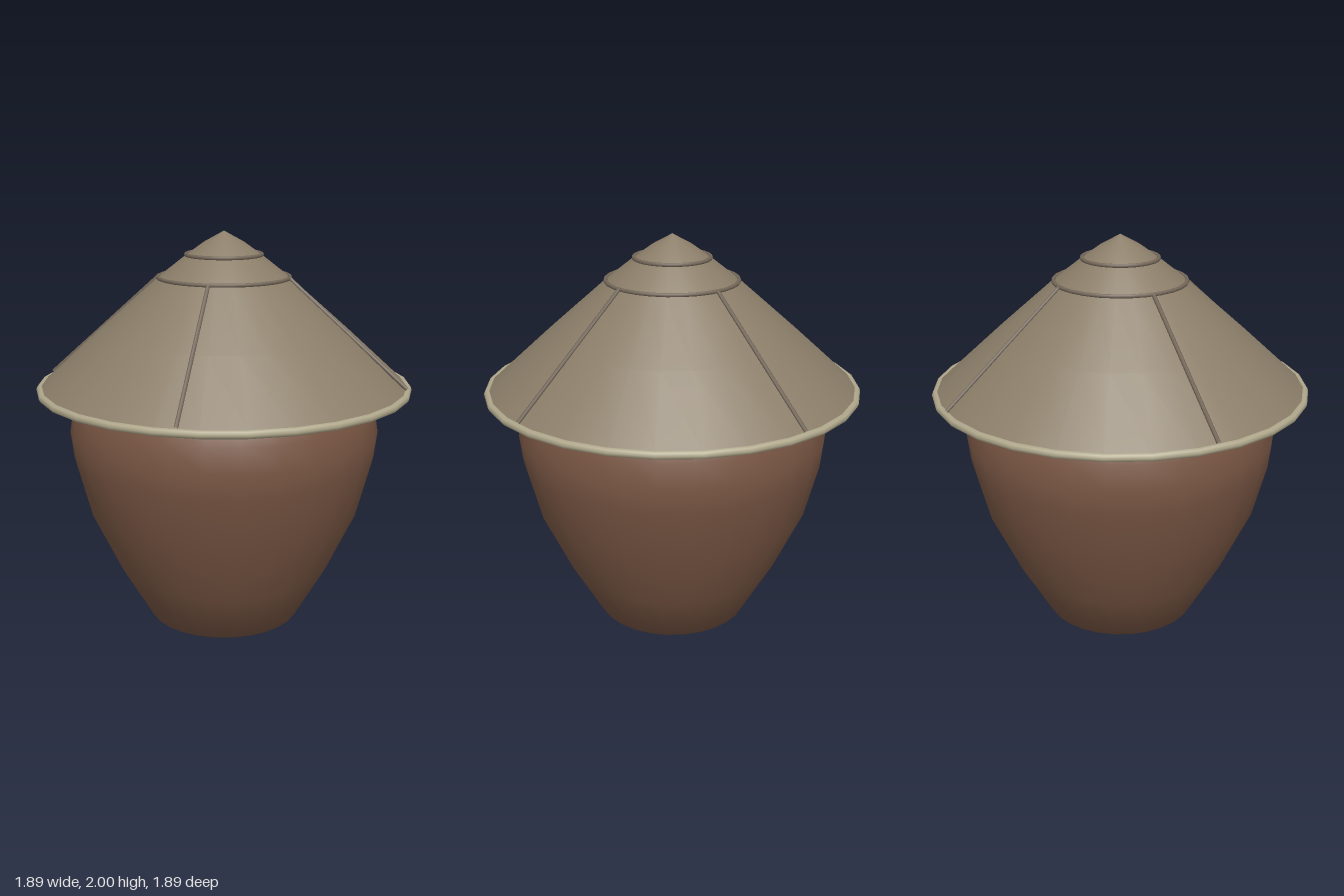
import * as THREE from 'three';

const SEGMENTS = 28;

function material(name, color, side = THREE.FrontSide) {
  const m = new THREE.MeshStandardMaterial({ color, side });
  m.name = name;
  return m;
}

// Smooth surface of revolution from [radius, height] pairs, listed bottom to top
function lathe(name, profile, mat) {
  const points = profile.map(([r, y]) => new THREE.Vector2(r, y));
  const mesh = new THREE.Mesh(new THREE.LatheGeometry(points, SEGMENTS), mat);
  mesh.name = name;
  return mesh;
}

// Horizontal ring
function ring(name, radius, tube, y, mat) {
  const geometry = new THREE.TorusGeometry(radius, tube, 8, SEGMENTS).rotateX(Math.PI / 2);
  const mesh = new THREE.Mesh(geometry, mat);
  mesh.name = name;
  mesh.position.y = y;
  return mesh;
}

export function createModel() {
  const clay = material('brown clay', 0x7a5744);
  const straw = material('woven straw', 0x8b7e69, THREE.DoubleSide);
  const binding = material('dark binding', 0x75685a);
  const edge = material('pale edge', 0xb0a88c);

  const model = new THREE.Group();
  model.name = 'coveredJar';

  // Jar with a rolled lip tucked under the cover
  model.add(lathe('jarBody', [
    [0, 0], [0.39, 0], [0.55, 0.28], [0.7, 0.6], [0.77, 0.87],
    [0.785, 1.0], [0.765, 1.12], [0.73, 1.21], [0.68, 1.29], [0, 1.31],
  ], clay));
  model.add(ring('jarLip', 0.695, 0.06, 1.28, clay));

  // Conical cover
  const cover = new THREE.Group();
  cover.name = 'cover';
  cover.add(lathe('coverCone', [
    [0.925, 1.235], [0.63, 1.505], [0.33, 1.77], [0.19, 1.88], [0.1, 1.945], [0, 2],
  ], straw));
  cover.add(ring('coverRim', 0.925, 0.02, 1.225, edge));
  cover.add(ring('lowerBand', 0.328, 0.01, 1.775, binding));
  cover.add(ring('upperBand', 0.188, 0.01, 1.885, binding));

  // Four diagonal ribs running from the lower band to the rim
  for (let i = 0; i < 4; i++) {
    const a = Math.PI / 4 + i * Math.PI / 2;
    const at = (r, y) => new THREE.Vector3(Math.cos(a) * r, y, Math.sin(a) * r);
    const path = new THREE.LineCurve3(at(0.33, 1.775), at(0.922, 1.248));
    const rib = new THREE.Mesh(new THREE.TubeGeometry(path, 1, 0.01, 6), binding);
    rib.name = 'coverRib';
    cover.add(rib);
  }
  model.add(cover);
  return model;
}
